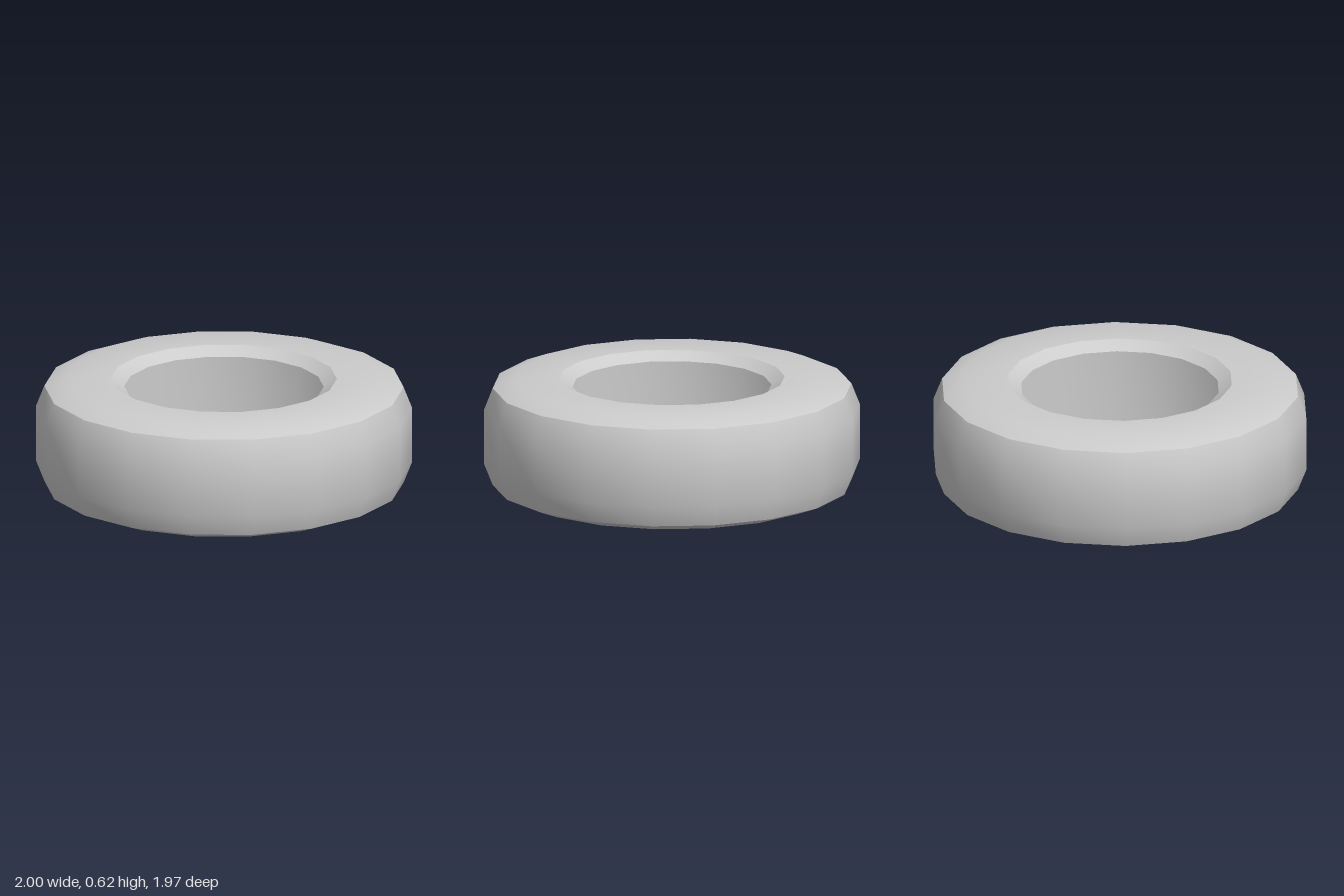
import * as THREE from 'three';
import { toCreasedNormals } from 'three/addons/utils/BufferGeometryUtils.js';

const HEIGHT = 0.62;
const SIDES = 18;

export function createModel() {
  const group = new THREE.Group();
  group.name = 'tire';

  // Upper half of the section, from the tread over the sidewall to the hollow inside
  const upper = [
    [1, 0.46],      // tread edge
    [0.955, 0.575], // shoulder
    [0.84, HEIGHT], // sidewall
    [0.6, HEIGHT],  // bead chamfer
    [0.53, 0.575],  // bead
    [0.8, 0.56],    // inner wall
  ];
  // Mirror it for the lower half and close the loop
  const lower = upper.map(([r, y]) => [r, HEIGHT - y]).reverse();
  const profile = [...upper, ...lower, upper[0]].map(([r, y]) => new THREE.Vector2(r, y));

  const geometry = toCreasedNormals(
    new THREE.LatheGeometry(profile, SIDES, Math.PI / 2),
    THREE.MathUtils.degToRad(30)
  );
  const tire = new THREE.Mesh(geometry, new THREE.MeshStandardMaterial({ color: 0xcccccc }));
  tire.name = 'tireBody';
  group.add(tire);
  return group;
}
